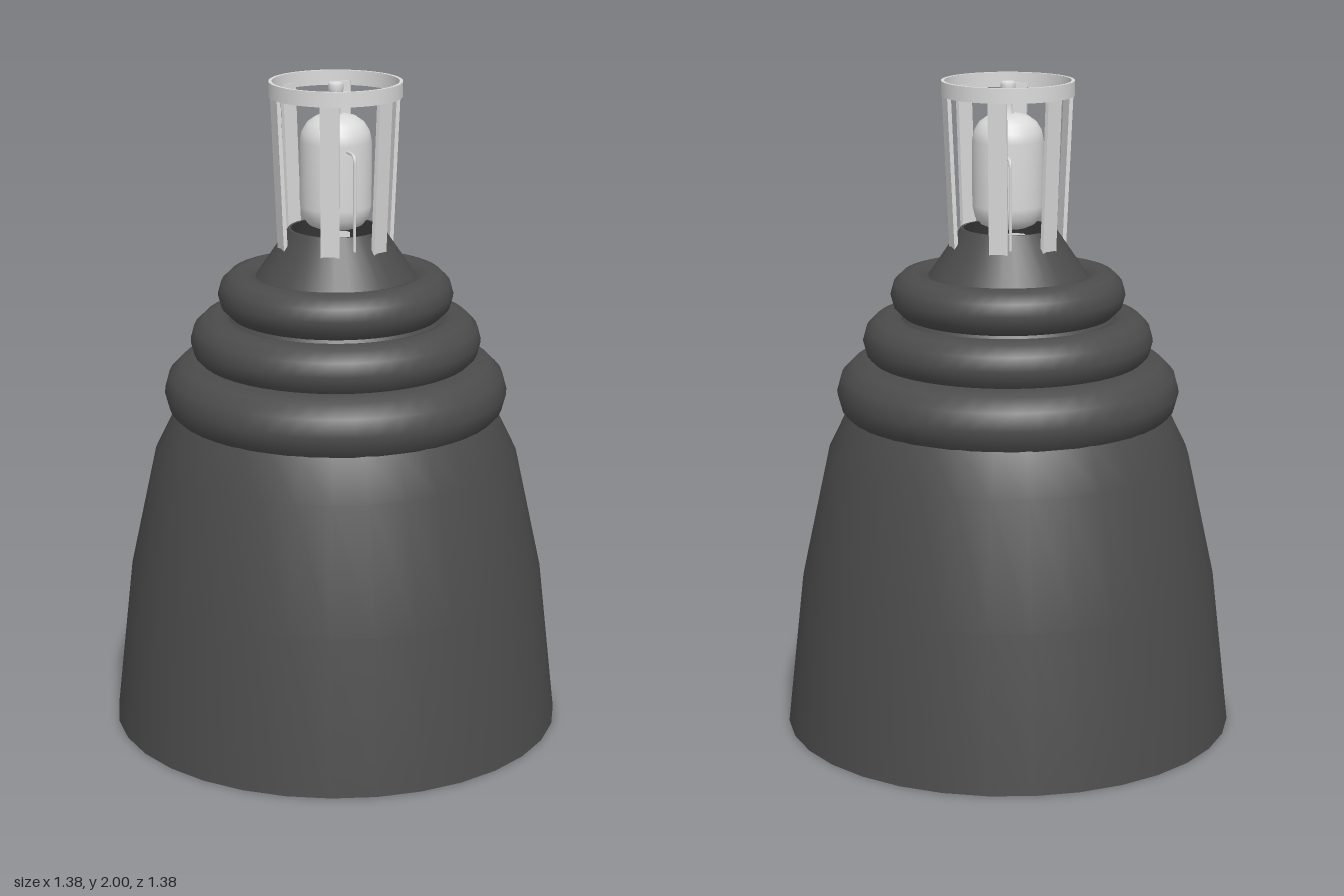
import * as THREE from 'three';

const darkMetal = new THREE.MeshStandardMaterial({ color: 0x4c4c4c });
darkMetal.name = 'dark metal';
const lightMetal = new THREE.MeshStandardMaterial({ color: 0xdadada });
lightMetal.name = 'light metal';

function add(parent, name, geometry, material) {
  const mesh = new THREE.Mesh(geometry, material);
  mesh.name = name;
  parent.add(mesh);
  return mesh;
}

// Rising [radius, height] profiles face outward, falling ones face inward
function lathe(points, segments = 32) {
  return new THREE.LatheGeometry(points.map(([r, y]) => new THREE.Vector2(r, y)), segments);
}

export function createModel() {
  const model = new THREE.Group();
  model.name = 'rocketEngine';

  // Hollow bell and neck, open at both ends; the inner wall is a slimmer copy
  const bell = new THREE.Group();
  bell.name = 'bell';
  model.add(bell);
  const wall = [[0.69, 0], [0.637, 0.48], [0.555, 0.86], [0.494, 0.985], [0.41, 1.155], [0.32, 1.29], [0.235, 1.42]];
  const neck = [[0.235, 1.42], [0.143, 1.555]];
  const lining = (profile) => profile.map(([r, y]) => [r * 0.943, y]).reverse();
  add(bell, 'bellOuterWall', lathe(wall), darkMetal);
  add(bell, 'bellInnerWall', lathe(lining(wall)), darkMetal);
  add(bell, 'neckOuterWall', lathe(neck), darkMetal);
  add(bell, 'neckInnerWall', lathe(lining(neck)), darkMetal);
  add(bell, 'bellRim', lathe([[0.651, 0], [0.69, 0]]), darkMetal);
  add(bell, 'neckRim', lathe([[0.143, 1.555], [0.135, 1.555]]), darkMetal);

  // Three stacked rings: major radius, tube radius, height
  for (const [major, minor, y] of [[0.42, 0.103, 1.053], [0.362, 0.08, 1.211], [0.285, 0.072, 1.353]]) {
    const ring = add(model, 'collarRing', new THREE.TorusGeometry(major, minor, 12, 48), darkMetal);
    ring.rotation.x = Math.PI / 2;
    ring.position.y = y;
  }

  // Cage: a thin hoop on six leaning struts
  const cage = new THREE.Group();
  cage.name = 'cage';
  model.add(cage);
  const hoop = [[0.19, 1.955], [0.2, 1.955], [0.2, 2], [0.19, 2], [0.19, 1.955]];
  for (let i = 0; i < 4; i++) add(cage, 'cageHoop', lathe([hoop[i], hoop[i + 1]], 48), lightMetal);
  for (const degrees of [27, 90, 153, 207, 270, 333]) {
    const arm = new THREE.Group();
    arm.name = 'cageArm';
    arm.rotation.y = THREE.MathUtils.degToRad(degrees);
    cage.add(arm);
    const strut = add(arm, 'cageStrut', new THREE.BoxGeometry(0.056, 0.485, 0.012), lightMetal);
    strut.position.set(0, 1.727, 0.181);
    strut.rotation.x = 0.045;
  }

  // Rounded tank with a flared knob on a stalk
  add(model, 'tank', lathe([[0, 1.557], [0.06, 1.558], [0.082, 1.568], [0.1, 1.59], [0.108, 1.625],
    [0.108, 1.82], [0.102, 1.85], [0.086, 1.876], [0.062, 1.893], [0.035, 1.9], [0, 1.902]]), lightMetal);
  add(model, 'tankKnob', lathe([[0.02, 1.895], [0.014, 1.915], [0.013, 1.95], [0.022, 1.965],
    [0.023, 1.988], [0.019, 1.997], [0, 1.998]], 16), lightMetal);

  // Bent pipes from the tank down to the neck
  for (const [x, y, side] of [[-0.005, 1.805, 1], [0.045, 1.787, -1]]) {
    const path = new THREE.CurvePath();
    const p = (py, pz) => new THREE.Vector3(x, py, pz * side);
    path.add(new THREE.LineCurve3(p(y, 0.09), p(y, 0.14)));
    path.add(new THREE.QuadraticBezierCurve3(p(y, 0.14), p(y, 0.165), p(y - 0.025, 0.165)));
    path.add(new THREE.LineCurve3(p(y - 0.025, 0.165), p(1.515, 0.165)));
    add(model, 'pipe', new THREE.TubeGeometry(path, 40, 0.005, 8), lightMetal);
  }

  return model;
}
